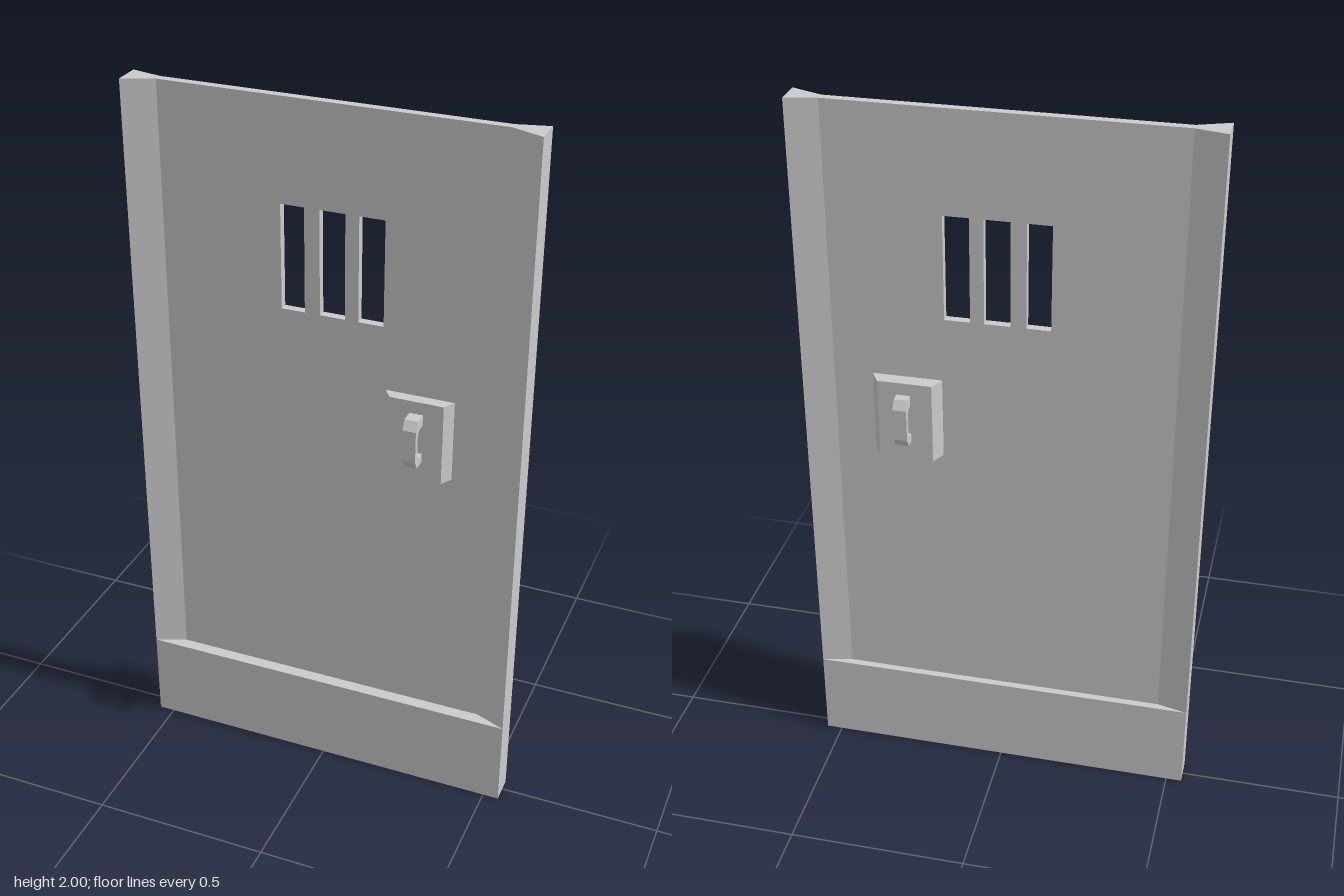
import * as THREE from 'three';

const material = new THREE.MeshStandardMaterial({ color: 0xcccccc, flatShading: true });

const FRONT = 0.044, BACK = -0.033;           // full thickness at the edges
const IN_FRONT = 0.01, IN_BACK = -0.013;      // thin recessed panel
const HALF = 0.545, INNER = 0.46, TOP = 2, KICK = 0.26;

function shapeOf(points) {
  return new THREE.Shape(points.map(([x, y]) => new THREE.Vector2(x, y)));
}

function extrude(shape, depth) {
  return new THREE.ExtrudeGeometry(shape, { depth, bevelEnabled: false });
}

// Plan outline of [x, z] points, raised from y0 to y1
function prism(points, y0, y1) {
  return extrude(shapeOf(points.map(([x, z]) => [x, -z])), y1 - y0)
    .rotateX(-Math.PI / 2).translate(0, y0, 0);
}

function rect(x0, x1, y0, y1) {
  return [[x0, y0], [x1, y0], [x1, y1], [x0, y1]];
}

export function createModel() {
  const group = new THREE.Group();
  const add = (name, geometry) => {
    const mesh = new THREE.Mesh(geometry, material);
    mesh.name = name;
    group.add(mesh);
  };

  // Thin panel with three window slots
  const panel = shapeOf(rect(-INNER, INNER, KICK, TOP));
  for (const [x0, x1] of [[-0.128, -0.063], [-0.021, 0.048], [0.085, 0.154]]) {
    panel.holes.push(new THREE.Path(shapeOf(rect(x0, x1, 1.43, 1.72)).getPoints()));
  }
  add('panel', extrude(panel, IN_FRONT - IN_BACK).translate(0, 0, IN_BACK));

  // Side stiles flaring out to full thickness
  for (const s of [1, -1]) {
    add(s > 0 ? 'leftStile' : 'rightStile', prism([
      [s * INNER, IN_FRONT], [s * HALF, FRONT], [s * HALF, BACK], [s * INNER, IN_BACK],
    ], KICK, TOP));
  }

  // Thick kick rail along the bottom
  add('kickRail', prism([[-HALF, FRONT], [HALF, FRONT], [HALF, BACK], [-HALF, BACK]], 0, KICK));

  // Lock case through the door, bevelled on its sides
  add('lockCase', prism([
    [0.163, 0.01], [0.186, 0.042], [0.333, 0.042], [0.352, 0.01],
    [0.352, -0.015], [0.33, -0.053], [0.182, -0.053], [0.163, -0.015],
  ], 1.02, 1.25));

  // Chamfered pull handles, one on each face
  const grip = [
    [0.03, 1.215], [0.078, 1.215], [0.094, 1.19], [0.094, 1.1], [0.078, 1.075], [0.03, 1.075],
    [0.03, 1.1], [0.07, 1.1], [0.078, 1.112], [0.078, 1.172], [0.07, 1.184], [0.03, 1.184],
  ];
  for (const s of [1, -1]) {
    add(s > 0 ? 'frontHandle' : 'backHandle',
      extrude(shapeOf(grip.map(([z, y]) => [s * z, y])), 0.037)
        .rotateY(-Math.PI / 2).translate(0.278, 0, 0));
  }

  return group;
}
